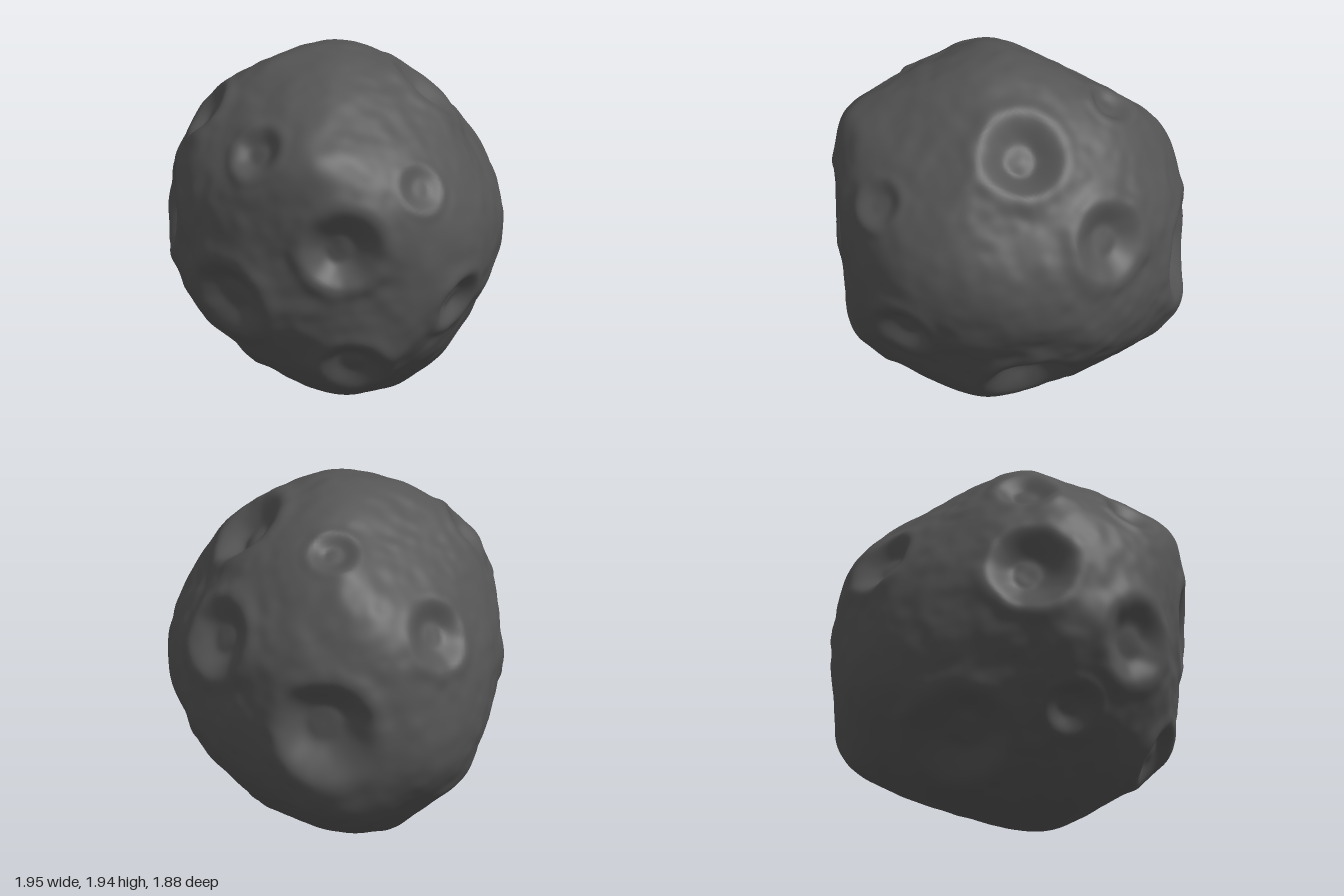
import * as THREE from 'three';
import { mergeVertices } from 'three/addons/utils/BufferGeometryUtils.js';

// Outline of the lump around six axes (azimuth, elevation in degrees): radius every 30 degrees
const OUTLINES = [
  { az: 0, el: 0, r: [1, .99, .955, .99, .905, .9, .955, 1.07, 1.04, .99, 1.02, .97] },
  { az: 90, el: 0, r: [.94, .9, .945, 1, .95, .94, .945, .905, .945, .995, .96, .955] },
  { az: 0, el: 90, r: [.995, .965, .92, .945, .95, 1, .985, .92, .885, .94, .905, .95] },
  { az: 35, el: 25, r: [.955, .845, .88, .945, .885, .88, .905, .85, .87, .98, .965, .91] },
  { az: 215, el: 25, r: [.905, .91, .985, .98, .965, .93, .965, .885, .91, 1.015, 1.065, .965] },
  { az: 140, el: -30, r: [1, .95, .945, .94, .925, 1, .885, .918, .935, .89, 1.02, 1.06] },
].map(({ az, el, r }) => {
  const a = THREE.MathUtils.degToRad(az), e = THREE.MathUtils.degToRad(el);
  const axis = new THREE.Vector3(Math.sin(a) * Math.cos(e), Math.sin(e), Math.cos(a) * Math.cos(e));
  const right = new THREE.Vector3(Math.cos(a), 0, -Math.sin(a));
  return { r, right, up: axis.cross(right) };
});

// Craters: direction x, y, z, then radius and relative depth
const CRATERS = [
  [-.53, .1, .75, .26, .38], [.68, .13, .55, .23, .4], [.18, .58, .69, .15, .34],
  [-.4, .64, .56, .17, .38], [.13, -.23, .9, .24, .34], [-.13, -.63, .65, .16, .28],
  [.64, -.59, .42, .18, .36], [-.58, -.8, .2, .28, .32], [.87, .44, .12, .13, .22],
  [.9, -.27, -.1, .17, .34], [.31, .75, -.44, .25, .38], [.07, .25, -.88, .23, .36],
  [.37, -.71, -.57, .26, .4], [-.39, .73, -.43, .14, .4], [-.86, .3, -.1, .2, .36],
  [-.58, -.15, -.7, .27, .4],
].map(([x, y, z, radius, depth]) => ({ dir: new THREE.Vector3(x, y, z).normalize(), radius, depth }));

// Catmull-Rom reading of a closed ring of radii
function ringRadius(r, angle) {
  const n = r.length;
  const u = ((angle / (2 * Math.PI)) * n + n) % n;
  const i = Math.floor(u), t = u - i;
  const [a, b, c, d] = [-1, 0, 1, 2].map((k) => r[(i + k + n) % n]);
  return b + 0.5 * t * (c - a + t * (2 * a - 5 * b + 4 * c - d + t * (3 * (b - c) + d - a)));
}

// Soft intersection of the six outlines, swept along their axes
function bodyRadius(d) {
  const power = 24;
  let sum = 0;
  for (const { r, right, up } of OUTLINES) {
    const x = d.dot(right), y = d.dot(up);
    sum += (Math.hypot(x, y) / ringRadius(r, Math.atan2(y, x))) ** power;
  }
  return 1.012 * sum ** (-1 / power);
}

// Seeded value noise in -1..1
function hash(x, y, z) {
  let h = (Math.imul(x, 374761393) ^ Math.imul(y, 668265263) ^ Math.imul(z, 1274126177)) | 0;
  h = Math.imul(h ^ (h >>> 13), 1103515245);
  return ((h ^ (h >>> 16)) >>> 0) / 2147483648 - 1;
}
function noise(x, y, z) {
  const i = [x, y, z].map(Math.floor);
  const f = [x - i[0], y - i[1], z - i[2]].map((t) => t * t * (3 - 2 * t));
  let n = 0;
  for (let k = 0; k < 8; k++) {
    const b = [k & 1, (k >> 1) & 1, k >> 2];
    const w = b.reduce((p, bit, j) => p * (bit ? f[j] : 1 - f[j]), 1);
    n += w * hash(i[0] + b[0], i[1] + b[1], i[2] + b[2]);
  }
  return n;
}

// Bowl with a steep wall and a low raised rim
function craterOffset(d) {
  let h = 0;
  for (const { dir, radius, depth } of CRATERS) {
    const t = (d.angleTo(dir) * 0.94) / radius;
    if (t > 2) continue;
    h -= depth * radius * (1 - THREE.MathUtils.smoothstep(t, 0.35, 1.03));
    h += 0.05 * radius * Math.exp(-(((t - 1.12) / 0.22) ** 2));
  }
  return h;
}

export function createModel() {
  const ball = new THREE.IcosahedronGeometry(1, 56);
  ball.deleteAttribute('normal');
  ball.deleteAttribute('uv');
  const geometry = mergeVertices(ball, 1e-5);
  const pos = geometry.attributes.position;
  const d = new THREE.Vector3();
  for (let i = 0; i < pos.count; i++) {
    d.fromBufferAttribute(pos, i).normalize();
    const rough = 0.008 * noise(d.x * 6 + 9, d.y * 6 + 9, d.z * 6 + 9)
      + 0.005 * noise(d.x * 12 + 30, d.y * 12 + 30, d.z * 12 + 30);
    d.multiplyScalar(bodyRadius(d) + craterOffset(d) + rough);
    pos.setXYZ(i, d.x, d.y, d.z);
  }

  // Centre the rock and stand it on the ground
  geometry.center();
  geometry.computeBoundingBox();
  geometry.translate(0, -geometry.boundingBox.min.y, 0);
  geometry.computeVertexNormals();

  const rock = new THREE.Mesh(geometry, new THREE.MeshStandardMaterial({ color: 0x555555 }));
  rock.name = 'crateredRock';
  const group = new THREE.Group();
  group.name = 'asteroid';
  group.add(rock);
  return group;
}
